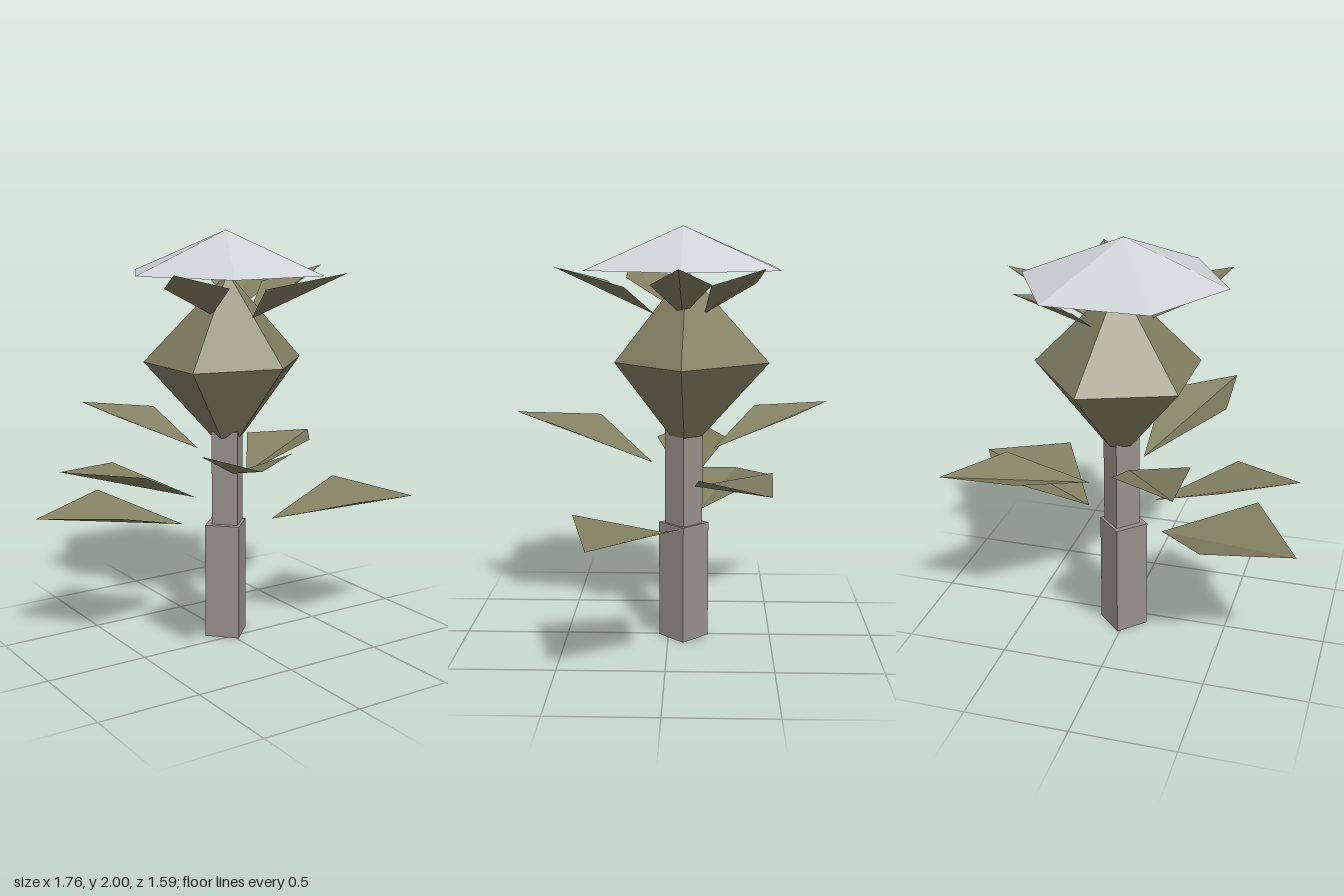
import * as THREE from 'three';

const material = (color, side = THREE.FrontSide) =>
  new THREE.MeshStandardMaterial({ color, flatShading: true, side });

function addMesh(parent, name, geometry, mat, x = 0, y = 0, z = 0) {
  const mesh = new THREE.Mesh(geometry, mat);
  mesh.name = name;
  mesh.position.set(x, y, z);
  parent.add(mesh);
  return mesh;
}

// Non-indexed geometry from triangles of [x, y, z] corners
function fromTriangles(triangles) {
  const geometry = new THREE.BufferGeometry();
  geometry.setAttribute('position', new THREE.Float32BufferAttribute(triangles.flat(2), 3));
  geometry.computeVertexNormals();
  return geometry;
}

// Kite-shaped leaf folded along the crease from base to tip
const leafGeometry = ([base, sideA, tip, sideB]) =>
  fromTriangles([[base, sideA, tip], [base, tip, sideB]]);

// Five-sided bulb: wide waist, small closed foot, pointed top
function bulbGeometry() {
  const waist = [[0.45, -0.07], [0.12, -0.475], [-0.31, -0.31], [-0.31, 0.15], [0.12, 0.25]]
    .map(([x, z]) => [x, 1.37, z]);
  const foot = waist.map(([x, , z]) => [0.03 + (x - 0.03) * 0.21, 1.01, -0.08 + (z + 0.08) * 0.21]);
  const top = [0.03, 1.8, -0.085];
  const bottom = [0.03, 1.01, -0.08];
  const triangles = [];
  for (let i = 0; i < 5; i++) {
    const j = (i + 1) % 5;
    triangles.push(
      [waist[i], waist[j], top],
      [foot[i], foot[j], waist[j]],
      [foot[i], waist[j], waist[i]],
      [foot[j], foot[i], bottom],
    );
  }
  return fromTriangles(triangles);
}

export function createModel() {
  const model = new THREE.Group();
  model.name = 'plant';

  const bark = material(0x98908a);
  const green = material(0x827f62);
  const leafGreen = material(0x827f62, THREE.DoubleSide);
  const pale = material(0xcfd3d6, THREE.DoubleSide);

  // Square stem in two thicknesses
  addMesh(model, 'lowerStem', new THREE.CylinderGeometry(0.12, 0.12, 0.575, 4), bark, 0.01, 0.2875, -0.075);
  addMesh(model, 'upperStem', new THREE.CylinderGeometry(0.09, 0.09, 0.47, 4), bark, 0.02, 0.805, -0.075);

  addMesh(model, 'bulb', bulbGeometry(), green);

  // Open six-sided cap
  const cap = addMesh(model, 'cap',
    new THREE.ConeGeometry(0.488, 0.2, 6, 1, true, Math.PI / 2), pale, 0.01, 1.9, -0.07);
  cap.scale.z = 1.06;

  // Leaves: base, side, tip, side
  const stemLeaves = [
    [[0.22, 0.58, 0.02], [0.45, 0.72, 0.42], [0.88, 0.67, 0.32], [0.68, 0.72, -0.08]],
    [[-0.2, 0.58, -0.14], [-0.47, 0.71, -0.52], [-0.88, 0.66, -0.35], [-0.635, 0.715, 0.03]],
    [[0.17, 0.79, -0.13], [0.58, 0.91, -0.15], [0.8, 0.89, -0.46], [0.41, 0.91, -0.48]],
    [[-0.155, 0.72, -0.09], [-0.5, 0.9, -0.29], [-0.85, 0.93, -0.13], [-0.52, 0.9, 0.075]],
    [[-0.05, 0.86, 0.08], [-0.4, 1.04, 0.36], [-0.37, 1.055, 0.79], [-0.03, 1.04, 0.53]],
    [[-0.06, 0.93, -0.22], [-0.09, 1.085, -0.61], [-0.41, 1.11, -0.8], [-0.4, 1.09, -0.43]],
  ];
  const crownLeaves = [
    [[-0.1, 1.61, -0.02], [-0.34, 1.74, -0.05], [-0.44, 1.82, 0.21], [-0.15, 1.75, 0.21]],
    [[0.07, 1.59, 0.06], [-0.01, 1.745, 0.29], [0.28, 1.82, 0.51], [0.3, 1.73, 0.19]],
    [[0.14, 1.59, -0.07], [0.31, 1.74, 0.075], [0.57, 1.82, -0.06], [0.31, 1.74, -0.205]],
    [[0.13, 1.6, -0.17], [0.37, 1.74, -0.2], [0.4, 1.815, -0.44], [0.14, 1.74, -0.41]],
  ];
  for (const corners of stemLeaves) addMesh(model, 'stemLeaf', leafGeometry(corners), leafGreen);
  for (const corners of crownLeaves) addMesh(model, 'crownLeaf', leafGeometry(corners), leafGreen);

  return model;
}
